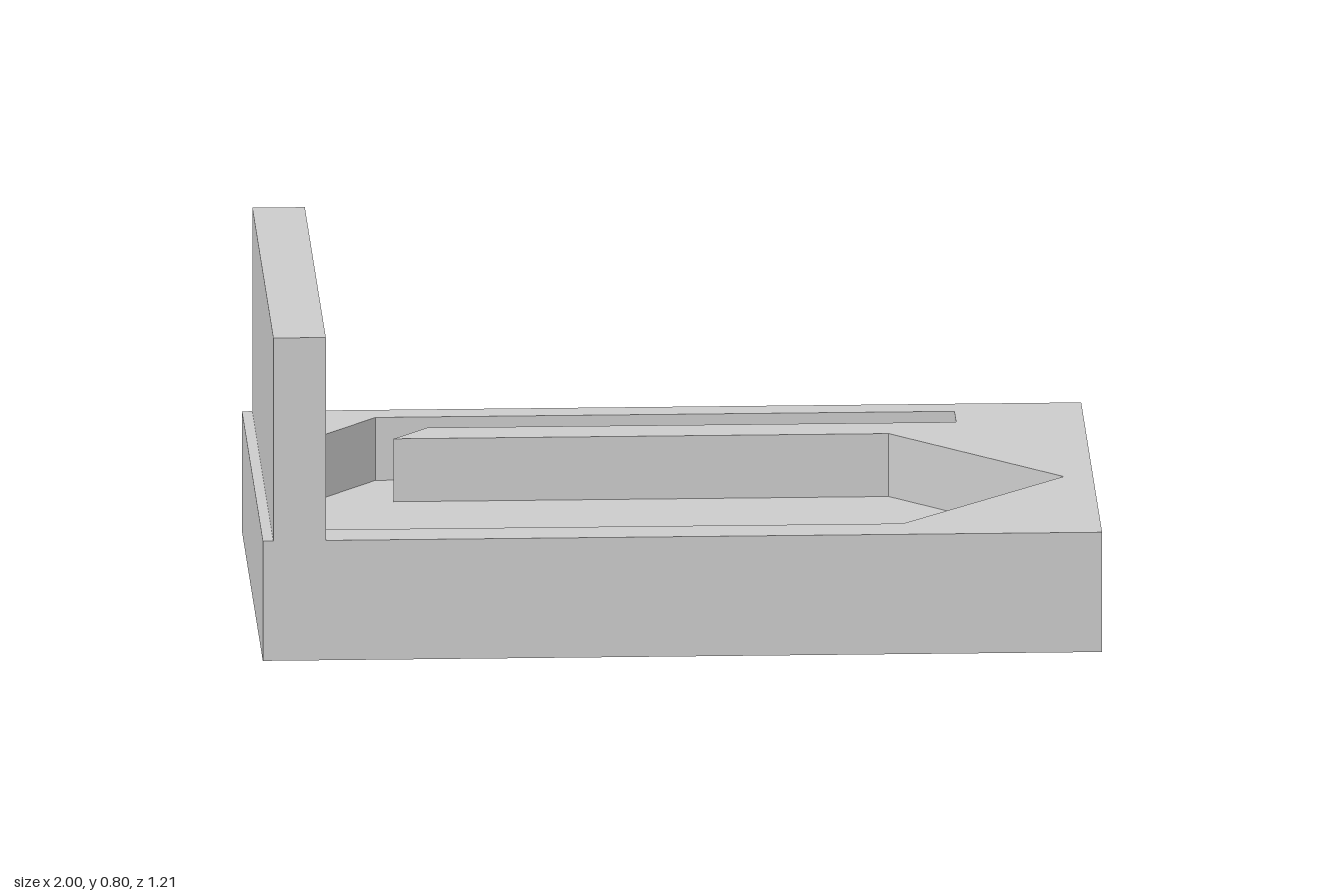
import * as THREE from 'three';

const FLOOR = 0.14;  // height of the recess floor
const TOP = 0.295;   // height of the base's top face

export function createModel() {
  const model = new THREE.Group();
  const material = new THREE.MeshStandardMaterial({ color: 0xcccccc, flatShading: true });

  function add(name, geometry, x, y, z) {
    const mesh = new THREE.Mesh(geometry, material);
    mesh.name = name;
    mesh.position.set(x, y, z);
    model.add(mesh);
    return mesh;
  }

  // Outlines are given as [x, z]; the extrusion is laid flat, so y = -z
  const points = (list) => list.map(([x, z]) => new THREE.Vector2(x, -z));

  // Solid lower slab, whose top is the recess floor
  add('baseSlab', new THREE.BoxGeometry(2, FLOOR, 1.205), 0, FLOOR / 2, 0.0025);

  // Upper layer, pierced by the pointed recess that turns back into a side slot
  const rim = new THREE.Shape(points([[-1, 0.605], [1, 0.605], [1, -0.6], [-1, -0.6]]));
  rim.holes.push(new THREE.Path(points([
    [-0.85, -0.33], [-0.685, -0.53], [0.695, -0.53], [0.695, -0.43],
    [-0.565, -0.43], [-0.65, -0.33], [0.53, -0.33], [0.93, 0.085],
    [0.53, 0.505], [-0.85, 0.505],
  ])));
  const rimGeometry = new THREE.ExtrudeGeometry(rim, { depth: TOP - FLOOR, bevelEnabled: false });
  rimGeometry.rotateX(-Math.PI / 2);
  add('recessedTop', rimGeometry, 0, FLOOR, 0);

  // Upright end wall
  add('endWall', new THREE.BoxGeometry(0.125, 0.795 - TOP, 1.21), -0.9125, (0.795 + TOP) / 2, 0);

  return model;
}
